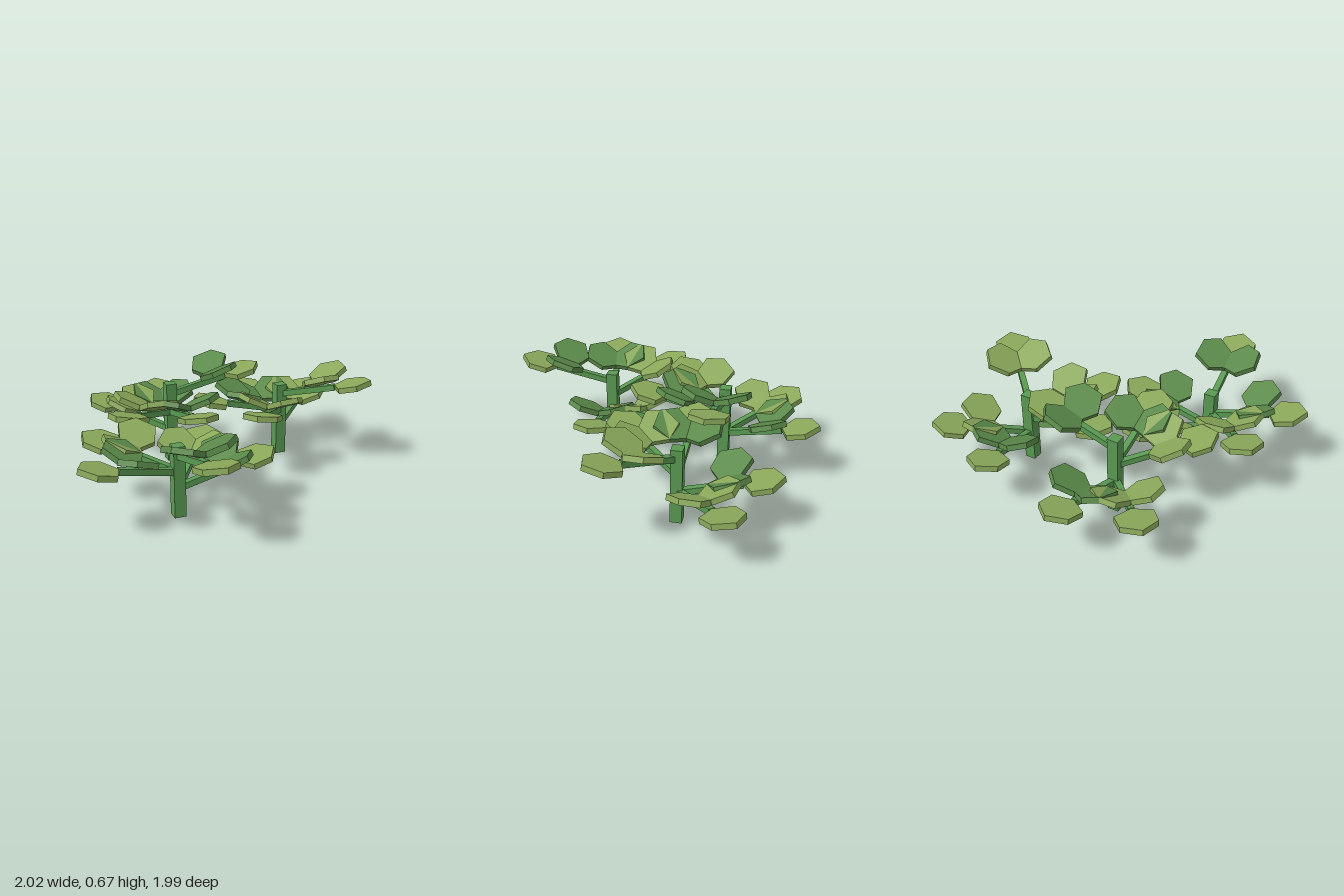
import * as THREE from 'three';

const mat = (color) => new THREE.MeshStandardMaterial({ color, flatShading: true });
const stemMat = mat(0x5a9a52);
const greenMat = mat(0x5b8a4a);
const oliveMat = mat(0x8aa85a);

const GOLDEN = THREE.MathUtils.degToRad(137.5);
const SLOPE = Math.atan(0.24);
const REACH = 0.38; // branch length from the stem axis to the leaf cluster

// Six-sided leaf slab, base at the origin, tip along +x, lying flat
function leafGeometry(thickness = 0.034) {
  const half = [[0.055, 0.114], [0.17, 0.108]];
  const shape = new THREE.Shape();
  shape.moveTo(0, 0);
  half.forEach(([x, y]) => shape.lineTo(x, -y));
  shape.lineTo(0.24, 0);
  [...half].reverse().forEach(([x, y]) => shape.lineTo(x, y));
  shape.closePath();
  return new THREE.ExtrudeGeometry(shape, { depth: thickness, bevelEnabled: false })
    .translate(0, 0, -thickness / 2)
    .rotateX(-Math.PI / 2);
}
const leafGeo = leafGeometry();

function addMesh(parent, name, geometry, material) {
  const mesh = new THREE.Mesh(geometry, material);
  mesh.name = name;
  parent.add(mesh);
  return mesh;
}

// Sloping twig with one tip leaf and two side leaves raised in a V
function makeBranch(sideMat) {
  const branch = new THREE.Group();
  branch.name = 'branch';
  const twig = addMesh(branch, 'twig', new THREE.BoxGeometry(REACH, 0.038, 0.038), stemMat);
  twig.position.x = REACH / 2;

  addMesh(branch, 'tipLeaf', leafGeo, oliveMat).position.x = REACH;
  for (const s of [1, -1]) {
    const leaf = addMesh(branch, 'sideLeaf', leafGeo, sideMat);
    leaf.position.set(REACH, 0.05, 0);
    leaf.rotation.set(s * 0.31, s * Math.PI * 2 / 3, 0.09, 'ZXY');
  }
  return branch;
}

// Square stem with five branches spiralling round it at three levels
function makePlant(index, x, z, height, startDegrees) {
  const plant = new THREE.Group();
  plant.name = 'plant';
  plant.position.set(x, 0, z);

  const stem = addMesh(plant, 'stem', new THREE.BoxGeometry(0.07, height, 0.07), stemMat);
  stem.position.y = height / 2;

  for (let i = 0; i < 5; i++) {
    const arm = new THREE.Group();
    arm.name = 'branchArm';
    arm.position.y = height * (0.4 + 0.23 * (i % 3));
    arm.rotation.y = THREE.MathUtils.degToRad(startDegrees) + i * GOLDEN;
    const branch = makeBranch((i + index) % 2 === 0 ? greenMat : oliveMat);
    branch.rotation.z = SLOPE;
    arm.add(branch);
    plant.add(arm);
  }
  return plant;
}

export function createModel() {
  const model = new THREE.Group();
  model.name = 'plantCluster';
  model.add(
    makePlant(0, -0.405, 0.39, 0.435, 0),
    makePlant(2, -0.17, -0.4, 0.525, 81.5),
    makePlant(1, 0.54, -0.24, 0.48, 41),
  );
  return model;
}
